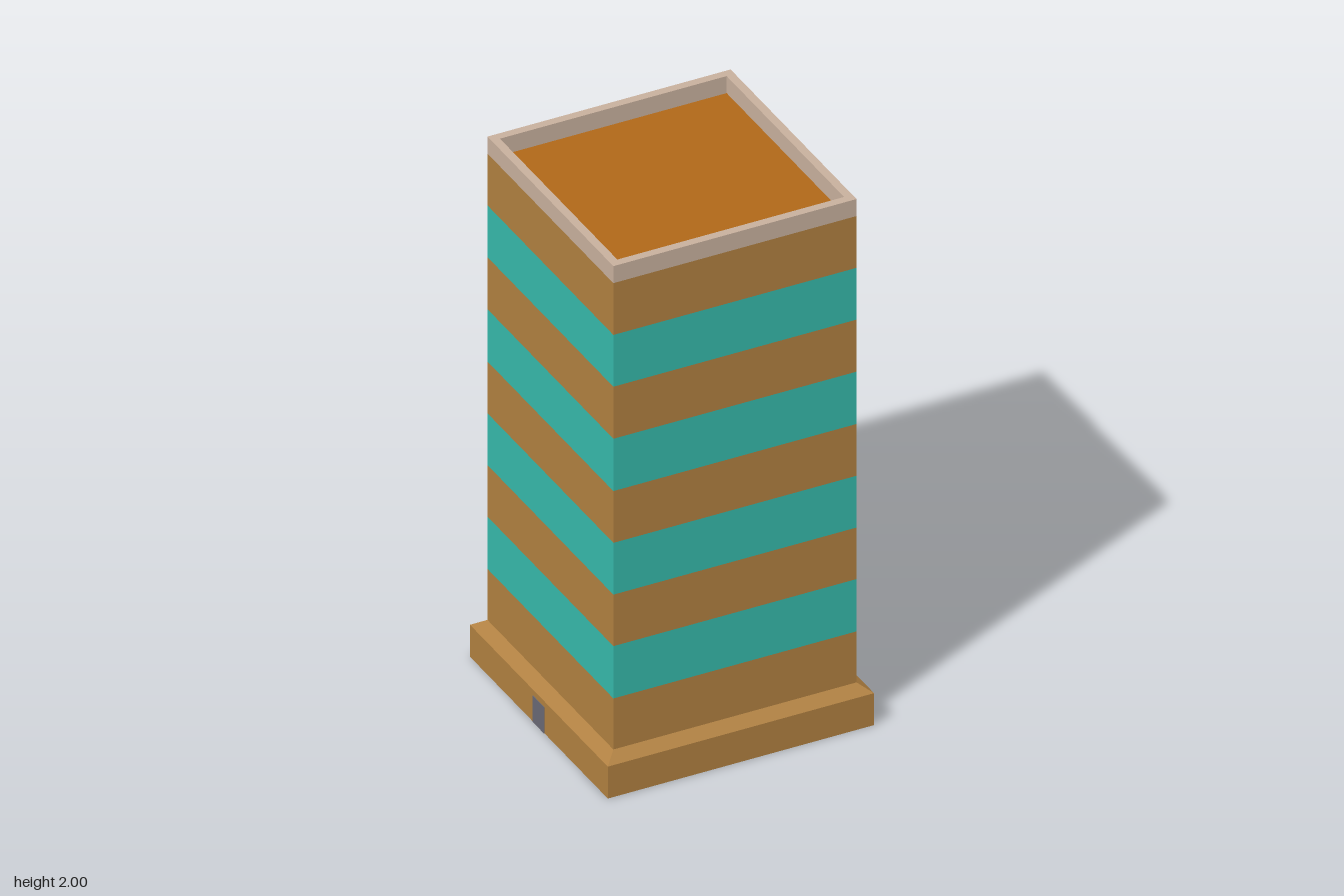
import * as THREE from 'three';

const brown = 0xb08040, teal = 0x36b8aa, stone = 0xc8b09d, orange = 0xb06818, slate = 0x686874;

export function createModel() {
  const model = new THREE.Group();

  function add(name, geometry, color) {
    const material = new THREE.MeshStandardMaterial({ color, flatShading: true });
    const mesh = new THREE.Mesh(geometry, material);
    mesh.name = name;
    model.add(mesh);
    return mesh;
  }

  // Four open walls of a square section between two heights
  function walls(bottomHalf, topHalf, y0, y1) {
    return new THREE.CylinderGeometry(topHalf * Math.SQRT2, bottomHalf * Math.SQRT2, y1 - y0, 4, 1, true)
      .rotateY(Math.PI / 4)
      .translate(0, (y0 + y1) / 2, 0);
  }

  function square(PathType, half) {
    return new PathType([[-1, -1], [1, -1], [1, 1], [-1, 1]]
      .map(([x, y]) => new THREE.Vector2(x * half, y * half)));
  }

  const baseHalf = 0.485, shaftHalf = 0.443, innerHalf = 0.413;
  const shaftBottom = 0.152, roofY = 1.935;

  // Plinth with sloped ledge
  add('plinth', walls(baseHalf, baseHalf, 0, 0.122), brown);
  add('plinthLedge', walls(baseHalf, shaftHalf, 0.122, shaftBottom), brown);
  add('plinthUnderside', new THREE.PlaneGeometry(2 * baseHalf, 2 * baseHalf).rotateX(Math.PI / 2), brown);

  // Tower shaft in alternating bands
  const levels = [shaftBottom, 0.347, 0.547, 0.744, 0.942, 1.14, 1.34, 1.539, 1.737, roofY];
  for (let i = 0; i < levels.length - 1; i++) {
    add(`shaftBand${i + 1}`, walls(shaftHalf, shaftHalf, levels[i], levels[i + 1]), i % 2 ? teal : brown);
  }

  // Parapet around the sunken roof
  const outline = square(THREE.Shape, shaftHalf);
  outline.holes.push(square(THREE.Path, innerHalf));
  const parapet = new THREE.ExtrudeGeometry(outline, { depth: 2 - roofY, bevelEnabled: false });
  add('parapet', parapet.rotateX(-Math.PI / 2).translate(0, roofY, 0), stone);
  add('roof', new THREE.PlaneGeometry(2 * innerHalf, 2 * innerHalf).rotateX(-Math.PI / 2).translate(0, roofY, 0), orange);

  // Small door set in the plinth's right side
  add('door', new THREE.BoxGeometry(0.004, 0.1, 0.08), slate).position.set(-baseHalf, 0.05, 0);

  return model;
}
